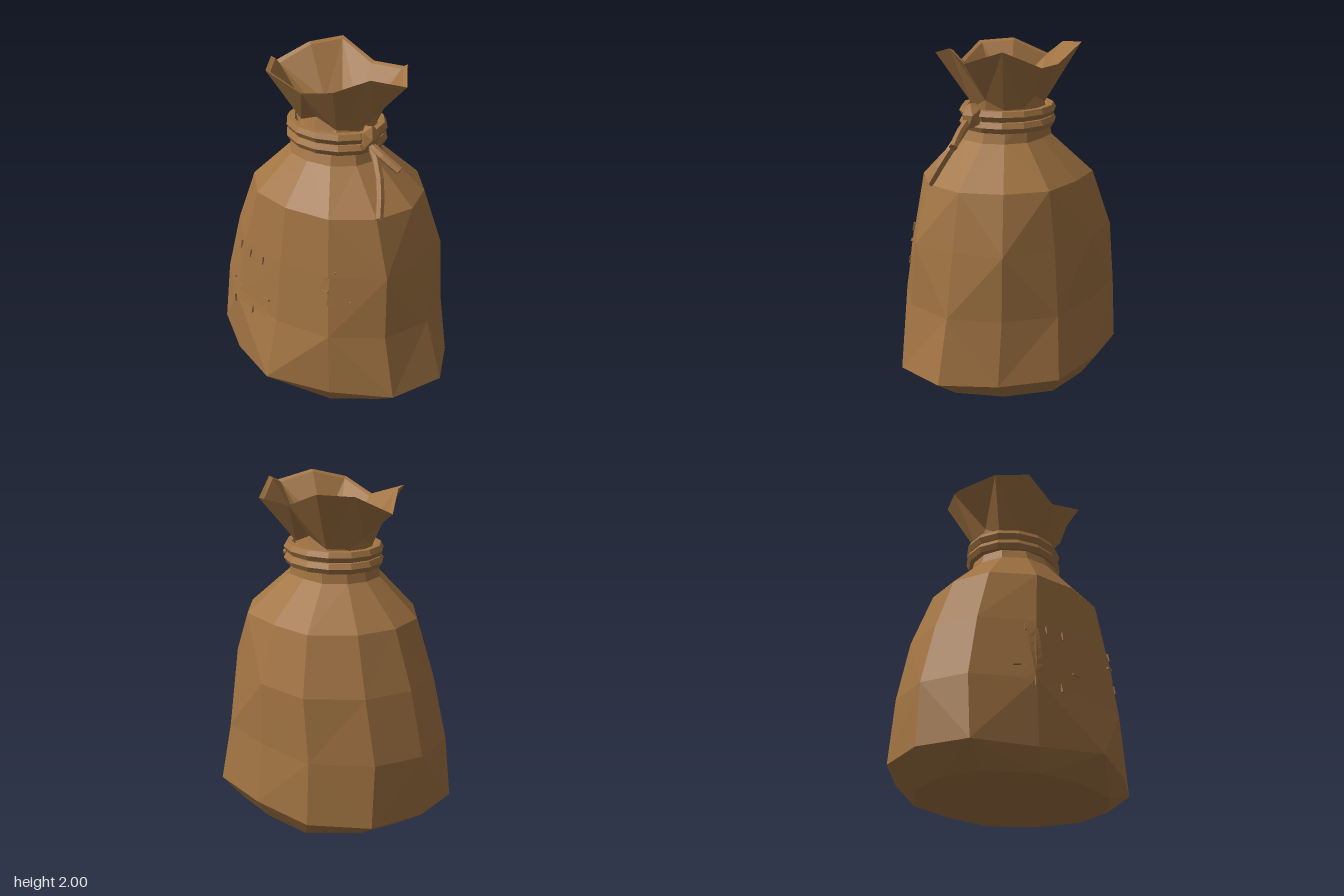
import * as THREE from 'three';

const SIDES = 12;

// Gives every facet its own normal for a low-poly look
function flat(geo) {
  const g = geo.index ? geo.toNonIndexed() : geo;
  g.computeVertexNormals();
  return g;
}

// Joins closed rings of points into a skin, with alternating quad diagonals
function loft(rings, { capStart = false, capEnd = false, shift = 0 }) {
  const pos = [];
  const tri = (...pts) => pts.forEach((p) => pos.push(p.x, p.y, p.z));
  const middle = (ring) => ring.reduce((s, p) => s.add(p), new THREE.Vector3()).divideScalar(SIDES);
  for (let i = 0; i < SIDES; i++) {
    const n = (i + 1) % SIDES;
    for (let j = 0; j < rings.length - 1; j++) {
      const a = rings[j][i], b = rings[j][n], c = rings[j + 1][n], d = rings[j + 1][i];
      if ((i + j + shift) % 2) { tri(a, d, c); tri(a, c, b); } else { tri(a, d, b); tri(d, c, b); }
    }
    if (capStart) tri(middle(rings[0]), rings[0][i], rings[0][n]);
    if (capEnd) {
      const end = rings[rings.length - 1];
      tri(middle(end), end[n], end[i]);
    }
  }
  const g = new THREE.BufferGeometry();
  g.setAttribute('position', new THREE.Float32BufferAttribute(pos, 3));
  return flat(g);
}

const toVec = (p) => new THREE.Vector3(...p);

// Rounded outline of the cloth, from +x round through +z
const OUTLINE = [
  [1, 0], [0.88, 0.53], [0.51, 0.9], [0, 1], [-0.51, 0.9], [-0.9, 0.5],
  [-1, 0], [-0.88, -0.51], [-0.51, -0.95], [0, -1], [0.5, -0.93], [0.84, -0.52],
];

// One level of the sack; fullness swells the two points beside its left edge
function ring(y, left, right, back, front, fullness = 1) {
  const cx = -0.025, cz = -0.025;
  return OUTLINE.map(([u, v], i) => {
    const w = i === 1 || i === 11 ? u * fullness : u;
    return new THREE.Vector3(
      cx + w * (w > 0 ? right - cx : cx - left), y, cz + v * (v > 0 ? front - cz : cz - back));
  });
}

export function createModel() {
  const group = new THREE.Group();
  const brown = new THREE.MeshStandardMaterial({ color: 0xa27443 });
  brown.name = 'brown burlap';

  const add = (name, geo, parent = group) => {
    const m = new THREE.Mesh(geo, brown);
    m.name = name;
    parent.add(m);
    return m;
  };

  // Widest ring, just above the ground
  const hem = [
    [0.79, 0.13, -0.03], [0.68, 0.12, 0.3], [0.35, 0.115, 0.5], [-0.03, 0.135, 0.645],
    [-0.41, 0.11, 0.5], [-0.73, 0.12, 0.3], [-0.8, 0.13, -0.03], [-0.71, 0.12, -0.35],
    [-0.42, 0.115, -0.59], [-0.03, 0.135, -0.645], [0.38, 0.13, -0.6], [0.62, 0.12, -0.33],
  ].map(toVec);

  // Belly, with a shallow flat at the back left
  const belly = ring(0.88, -0.69, 0.61, -0.59, 0.5, 1.08);
  belly[10].set(0.28, 0.88, -0.51);

  // Gathered mouth with six folded points
  const mouth = [
    [0.47, 1.94, -0.03], [0.35, 2.0, 0.145], [0.23, 1.95, 0.32], [-0.02, 1.88, 0.3],
    [-0.27, 1.965, 0.32], [-0.39, 1.98, 0.145], [-0.52, 1.88, -0.03], [-0.4, 1.98, -0.2],
    [-0.28, 2.0, -0.38], [-0.02, 1.9, -0.36], [0.22, 1.91, -0.38], [0.345, 2.0, -0.2],
  ].map(toVec);

  // The folds start just above the cord, a little higher at the four middles
  const neckTop = ring(1.645, -0.29, 0.24, -0.21, 0.165);
  for (let i = 0; i < SIDES; i += 3) neckTop[i].y = 1.7;
  const neck = ring(1.58, -0.28, 0.23, -0.24, 0.2);

  const body = add('sackBody', loft([
    ring(0, -0.62, 0.6, -0.55, 0.48),
    hem,
    ring(0.5, -0.79, 0.68, -0.6, 0.55),
    belly,
    ring(1.22, -0.555, 0.54, -0.49, 0.445),
    ring(1.45, -0.315, 0.275, -0.255, 0.25),
    neck,
  ], { capStart: true, shift: 1 }));

  // Flared collar, its lip and the inner lining
  add('collar', loft([neck, neckTop, mouth], {}));
  const lip = mouth.map((p) => new THREE.Vector3(-0.02 + (p.x + 0.02) * 0.94, p.y - 0.012, -0.03 + (p.z + 0.03) * 0.93));
  add('lining', loft([mouth, lip, ring(1.68, -0.225, 0.18, -0.2, 0.14), ring(1.58, -0.22, 0.175, -0.195, 0.135)], { capEnd: true }));

  // Two turns of cord round the neck
  const cord = new THREE.Group();
  cord.name = 'cord';
  group.add(cord);
  for (const y of [1.61, 1.543]) {
    const torus = new THREE.TorusGeometry(1, 0.034, 6, 14);
    const p = torus.attributes.position;
    for (let i = 0; i < p.count; i++) {
      const a = Math.atan2(p.getY(i), p.getX(i));
      const off = Math.hypot(p.getX(i), p.getY(i)) - 1;
      p.setXYZ(i, -0.03 + (0.283 + off) * Math.cos(a), y + p.getZ(i) * 1.05, -0.022 - (0.25 + off) * Math.sin(a));
    }
    add('cordLoop', flat(torus), cord);
  }

  // Knot and its two loose ends
  const knot = add('knot', flat(new THREE.IcosahedronGeometry(1, 0)), cord);
  knot.scale.set(0.055, 0.085, 0.065);
  knot.position.set(0.275, 1.61, 0.045);
  knot.rotation.z = 0.15;

  const strand = (name, pts) => {
    const curve = new THREE.CatmullRomCurve3(pts.map(toVec));
    const r = 0.025, steps = 4;
    add(name, flat(new THREE.TubeGeometry(curve, steps, r, 6)), cord);
    [0, 1].forEach((t) => {
      const cap = add(name + 'Tip', flat(new THREE.CylinderGeometry(r, r, 0.006, 6)), cord);
      cap.position.copy(curve.getPoint(t));
      cap.quaternion.setFromUnitVectors(new THREE.Vector3(0, 1, 0), curve.getTangent(t));
    });
  };
  strand('longStrand', [[0.28, 1.59, 0.05], [0.36, 1.49, 0.085], [0.43, 1.37, 0.14], [0.48, 1.225, 0.21]]);
  strand('shortStrand', [[0.27, 1.59, 0.06], [0.38, 1.53, 0.06], [0.485, 1.465, 0.04]]);

  // Finds the cloth surface straight behind a point on the front
  body.updateMatrixWorld(true);
  const ray = new THREE.Raycaster();
  const onFront = (x, y) => {
    ray.set(new THREE.Vector3(x, y, 2), new THREE.Vector3(0, 0, -1));
    return ray.intersectObject(body)[0];
  };

  // Cloth patches that hug the front
  const patch = (name, cx, cy, w, h) => {
    const g = new THREE.PlaneGeometry(w, h, 6, 6);
    const p = g.attributes.position;
    for (let i = 0; i < p.count; i++) {
      const x = p.getX(i) + cx, y = p.getY(i) + cy;
      p.setXYZ(i, x, y, onFront(x, y).point.z + 0.006);
    }
    add(name, flat(g));
  };
  patch('rightPatch', -0.3, 0.655, 0.36, 0.34);
  patch('leftPatch', 0.375, 0.79, 0.19, 0.17);

  // Stitches: x, y, upright or level
  const stitches = [
    [-0.42, 0.83, 1], [-0.3, 0.83, 1], [-0.18, 0.83, 1], [-0.42, 0.48, 1], [-0.245, 0.48, 1],
    [-0.49, 0.58, 0], [-0.12, 0.6, 0], [0.33, 0.89, 1], [0.29, 0.79, 0], [0.42, 0.71, 1],
  ];
  for (const [x, y, upright] of stitches) {
    const hit = onFront(x, y);
    const s = add('stitch', new THREE.BoxGeometry(upright ? 0.012 : 0.05, upright ? 0.05 : 0.012, 0.012));
    s.position.copy(hit.point).addScaledVector(hit.face.normal, 0.008);
    s.quaternion.setFromUnitVectors(new THREE.Vector3(0, 0, 1), hit.face.normal);
  }

  return group;
}
